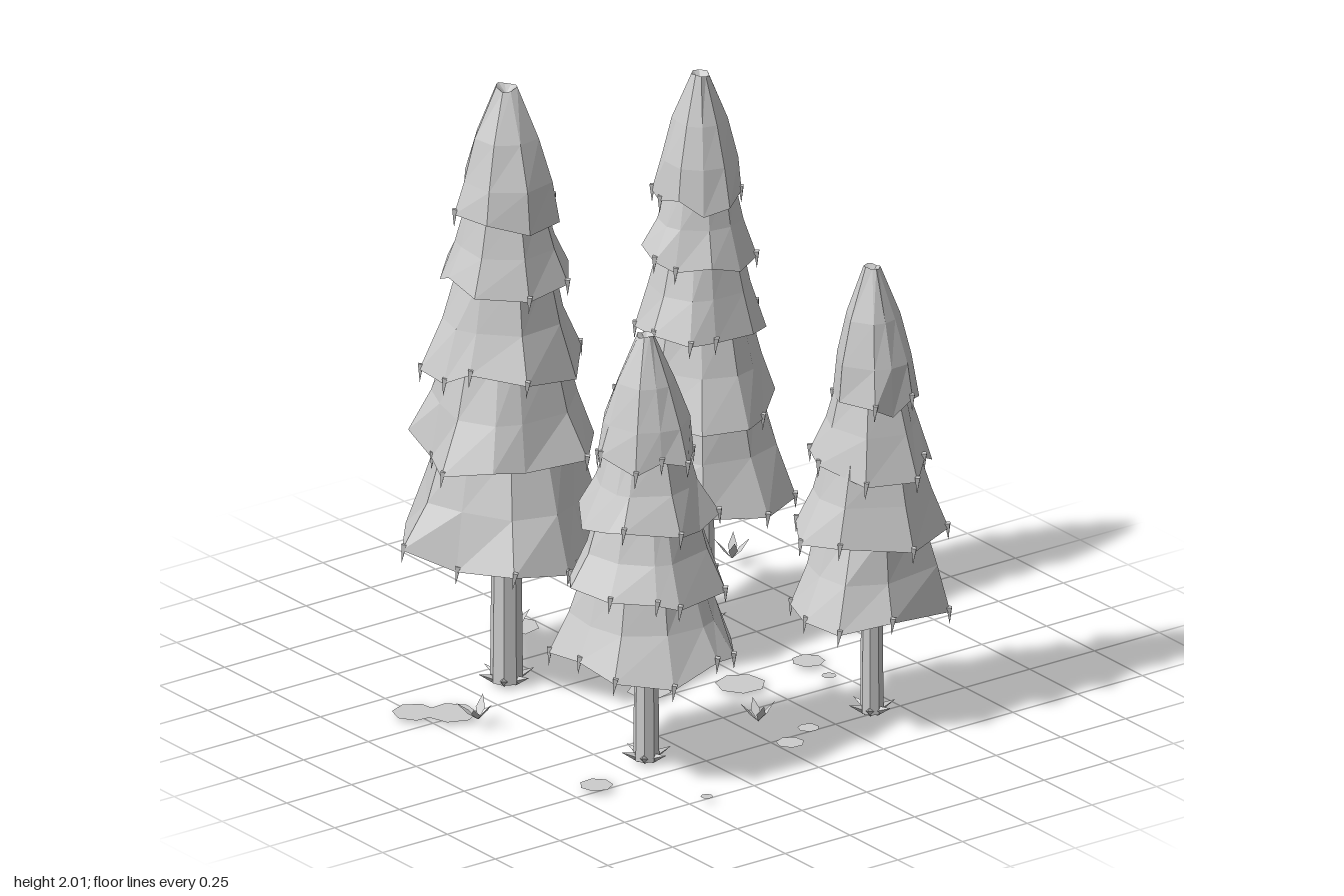
import * as THREE from 'three';

const grey = new THREE.MeshStandardMaterial({ color: 0xcccccc, flatShading: true, side: THREE.DoubleSide });
grey.name = 'pale grey';

let seed = 7;
const rand = () => (seed = (seed * 16807) % 2147483647) / 2147483647;
const jitter = (a) => (rand() - 0.5) * 2 * a;

function add(parent, geometry, name, x = 0, y = 0, z = 0) {
  const mesh = new THREE.Mesh(geometry, grey);
  mesh.name = name;
  mesh.position.set(x, y, z);
  parent.add(mesh);
  return mesh;
}

// Joins equal-length rings of points with triangles
function loft(rings) {
  const pos = [];
  for (let i = 0; i < rings.length - 1; i++) {
    const a = rings[i], b = rings[i + 1], n = a.length;
    for (let j = 0; j < n; j++) {
      const k = (j + 1) % n;
      pos.push(...a[j], ...b[j], ...a[k], ...a[k], ...b[j], ...b[k]);
    }
  }
  const g = new THREE.BufferGeometry();
  g.setAttribute('position', new THREE.Float32BufferAttribute(pos, 3));
  g.computeVertexNormals();
  return g;
}

// One skirt of branches: recessed underside, jagged rim, flared sides
function makeTier(tree, outline, scale, turn, y0, y1, topScale, isTop) {
  const polar = outline.map(([x, z]) => [Math.atan2(z, x) + turn, Math.hypot(x, z)]);
  const mean = polar.reduce((s, p) => s + p[1], 0) / polar.length;
  const ring = (s, y, round, wobble, drop = 0) => polar.map(([a, r]) => {
    const rr = s * THREE.MathUtils.lerp(r, mean, round) * (1 + jitter(wobble));
    return [Math.cos(a) * rr, y + jitter(drop), Math.sin(a) * rr];
  });
  const h = y1 - y0;
  const rim = ring(scale, y0, 0, 0, 0.028);
  const rings = [ring(scale * 0.2, y0 + 0.1, 1, 0), rim];
  if (isTop) {
    rings.push(ring(scale * 0.86, y0 + h * 0.3, 0.6, 0.05));
    rings.push(ring(scale * 0.6, y0 + h * 0.62, 0.8, 0.06));
    rings.push(ring(0.1, y1 - 0.008, 1, 0.1, 0.008));
    rings.push(ring(0.01, y1 - 0.03, 1, 0));
  } else {
    rings.push(ring(THREE.MathUtils.lerp(scale, topScale, 0.55), y0 + h * 0.45, 0.5, 0.04));
    rings.push(ring(topScale, y1, 0.8, 0.04));
    rings.push(ring(0.08, y1 + 0.05, 1, 0));
  }
  add(tree, loft(rings), 'branchTier');

  // Small needles hanging from the rim corners
  for (const [x, y, z] of rim) {
    if (rand() < 0.3) continue;
    const tip = add(tree, new THREE.ConeGeometry(0.011, 0.06, 4), 'hangingTip', x * 0.99, y - 0.012, z * 0.99);
    tip.rotation.set(Math.PI + z * 0.5, 0, -x * 0.5);
  }
}

function makeTree({ x, z, height, trunk, bottoms, scales, outline }) {
  const tree = new THREE.Group();
  tree.name = 'pineTree';
  tree.position.set(x, 0, z);

  const trunkTop = bottoms[0] + 0.25;
  add(tree, new THREE.CylinderGeometry(trunk * 0.85, trunk, trunkTop, 8), 'trunk', 0, trunkTop / 2, 0);

  // Root spurs around the foot
  for (let i = 0; i < 6; i++) {
    const a = i / 6 * Math.PI * 2 + 0.3;
    const root = add(tree, new THREE.ConeGeometry(0.017, 0.065, 4), 'root',
      Math.cos(a) * (trunk + 0.01), 0.018, Math.sin(a) * (trunk + 0.01));
    root.rotation.set(0, -a, -1.2, 'YXZ');
  }

  bottoms.forEach((y, i) => {
    const last = i === bottoms.length - 1;
    makeTier(tree, outline, scales[i], i * 0.75, y,
      last ? height : bottoms[i + 1] + 0.06, last ? 0 : scales[i + 1] * 0.72, last);
  });
  return tree;
}

// Tuft of leaning leaf-shaped blades
function makeTuft(x, z, turn) {
  const tuft = new THREE.Group();
  tuft.name = 'grassTuft';
  tuft.position.set(x, 0, z);
  const leaf = new THREE.Shape([[0, 0], [0.015, 0.04], [0, 0.085], [-0.015, 0.04]].map((p) => new THREE.Vector2(...p)));
  for (let i = 0; i < 4; i++) {
    const blade = add(tuft, new THREE.ShapeGeometry(leaf), 'grassBlade', 0, 0.012, 0);
    blade.rotation.set(0.75 + jitter(0.2), turn + i * 1.5 + jitter(0.3), 0, 'YXZ');
  }
  return tuft;
}

const tall = [1, 0.87, 0.74, 0.61, 0.5];
const short = [1, 0.88, 0.72, 0.54];
const trees = [
  { x: -0.37, z: -0.38, height: 2, trunk: 0.052, bottoms: [0.48, 0.79, 1.08, 1.35, 1.56], scales: tall,
    outline: [[-0.36, -0.06], [-0.16, -0.31], [0.11, -0.32], [0.3, -0.13], [0.31, 0.15], [0.1, 0.29], [-0.01, 0.34], [-0.2, 0.31], [-0.26, 0.09]] },
  { x: 0.38, z: -0.38, height: 1.86, trunk: 0.046, bottoms: [0.47, 0.76, 1.02, 1.26, 1.45], scales: tall,
    outline: [[-0.31, 0.01], [-0.18, -0.18], [0.03, -0.29], [0.18, -0.21], [0.26, -0.07], [0.24, 0.12], [0.2, 0.23], [0.04, 0.3], [-0.16, 0.23]] },
  { x: -0.4, z: 0.39, height: 1.43, trunk: 0.041, bottoms: [0.37, 0.6, 0.82, 1.02], scales: short,
    outline: [[-0.26, -0.16], [-0.06, -0.27], [0.2, -0.25], [0.24, -0.1], [0.29, 0.05], [0.15, 0.26], [0.07, 0.28], [-0.1, 0.28], [-0.25, 0.17], [-0.27, 0.01]] },
  { x: 0.39, z: 0.5, height: 1.5, trunk: 0.037, bottoms: [0.37, 0.61, 0.85, 1.06], scales: short,
    outline: [[-0.22, -0.13], [-0.06, -0.27], [0.12, -0.24], [0.2, -0.13], [0.27, -0.03], [0.17, 0.18], [-0.09, 0.23], [-0.24, 0.15], [-0.27, 0.01]] },
];

// Flat ground patches: x, z, radius
const patches = [[-0.09, -0.71, 0.075], [-0.76, -0.335, 0.07], [-0.67, -0.26, 0.08], [-0.07, -0.04, 0.07],
  [0.19, 0.085, 0.08], [0.47, 0.06, 0.053], [0.45, 0.195, 0.024], [0.03, 0.56, 0.045],
  [-0.66, 0.48, 0.053], [-0.44, 0.76, 0.02], [0.145, 0.5, 0.035]];

const tufts = [[-0.13, -0.675], [0.76, -0.73], [-0.65, -0.15], [0.72, -0.1], [0.04, 0.38]];

export function createModel() {
  seed = 7;
  const model = new THREE.Group();
  model.name = 'pineGrove';
  trees.forEach((t) => model.add(makeTree(t)));
  patches.forEach(([x, z, r], i) => {
    const disc = add(model, new THREE.CircleGeometry(r, 7), 'groundPatch', x, 0.002 + i * 0.0003, z);
    disc.rotation.set(-Math.PI / 2, 0, i * 0.6);
  });
  tufts.forEach(([x, z], i) => model.add(makeTuft(x, z, i * 1.1)));
  return model;
}
